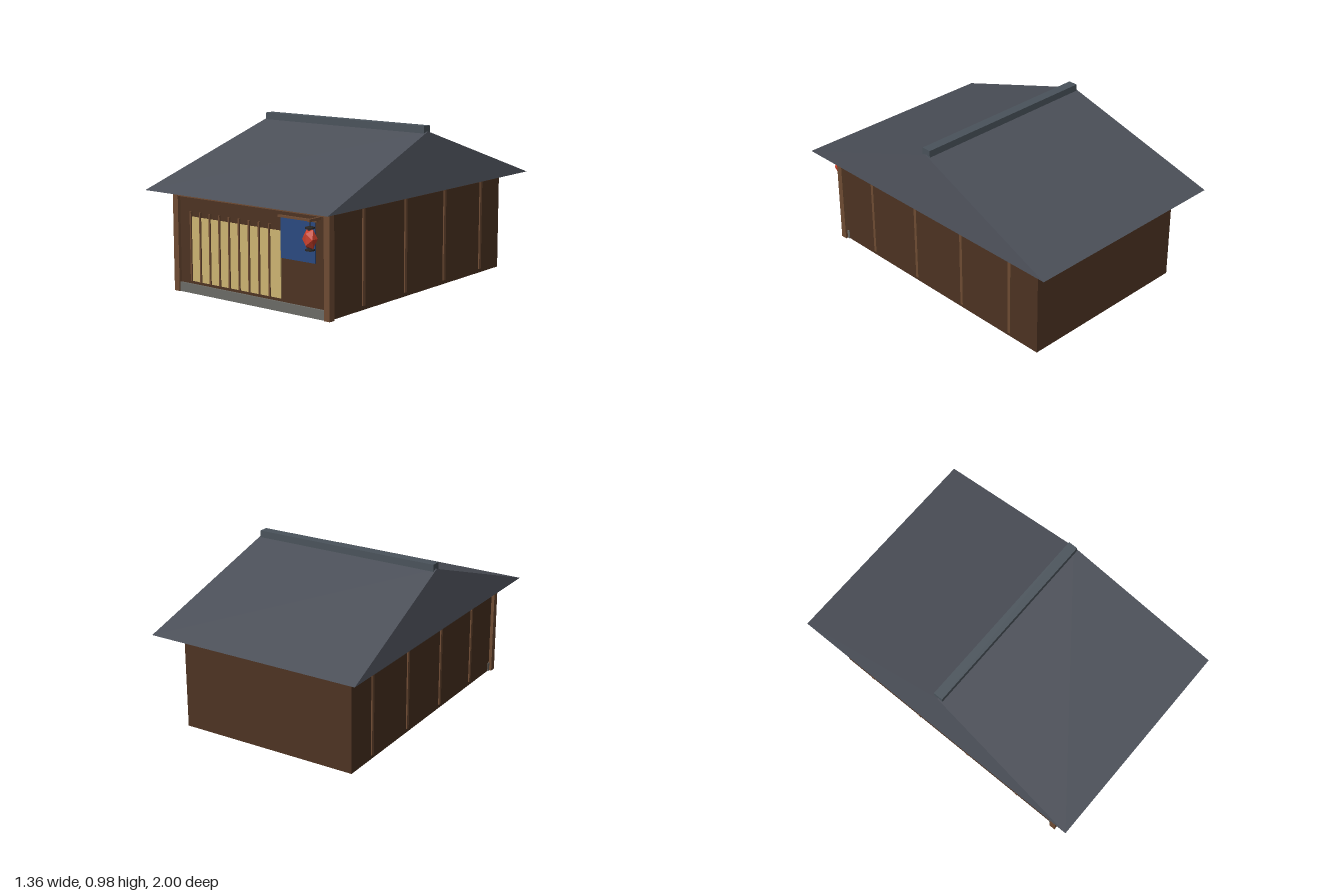
import * as THREE from 'three';

const mat = (name, color) => {
  const m = new THREE.MeshStandardMaterial({ color });
  m.name = name;
  return m;
};

export function createModel() {
  const wall = mat('dark wood', 0x4d3322);
  const trim = mat('trim wood', 0x6e4b33);
  const tile = mat('roof slate', 0x4b4f58);
  const ridgeTile = mat('ridge slate', 0x4a535b);
  const stone = mat('grey stone', 0x6b6b66);
  const paper = mat('cream paper', 0xcdb472);
  const cloth = mat('blue cloth', 0x2a4a80);
  const red = mat('lantern red', 0xcc3f2a);
  const iron = mat('dark iron', 0x2c2826);

  const model = new THREE.Group();
  model.name = 'house';
  const add = (name, geometry, material, x = 0, y = 0, z = 0, parent = model) => {
    const mesh = new THREE.Mesh(geometry, material);
    mesh.name = name;
    mesh.position.set(x, y, z);
    parent.add(mesh);
    return mesh;
  };
  // Box given by its lower and upper limits on each axis
  const box = (name, material, [x0, x1], [y0, y1], [z0, z1], parent) =>
    add(name, new THREE.BoxGeometry(x1 - x0, y1 - y0, z1 - z0), material,
      (x0 + x1) / 2, (y0 + y1) / 2, (z0 + z1) / 2, parent);

  // Walls and front frame
  box('walls', wall, [-0.568, 0.568], [0, 0.606], [-0.85, 0.85]);
  box('stoneSill', stone, [-0.573, 0.573], [0, 0.055], [0.813, 0.863]);
  box('headerBeam', trim, [-0.568, 0.568], [0.568, 0.606], [0.83, 0.868]);
  for (const s of [-1, 1]) {
    const x = s * 0.568;
    box('frontPost', trim, [x - 0.02, x + 0.02], [0, 0.606], [0.83, 0.87]);
    // Side battens and rail
    for (let i = 0; i < 4; i++) {
      const z = 0.55 - i * 0.395;
      box('sideBatten', trim, [x - 0.008, x + 0.008], [0.025, 0.58], [z - 0.01, z + 0.01]);
    }
    box('sideRail', trim, [x - 0.01, x + 0.01], [0.575, 0.591], [-0.785, 0.785]);
  }

  // Paper screen with upright slats
  box('paperScreen', paper, [-0.45, 0.23], [0.073, 0.455], [0.848, 0.856]);
  for (let i = 0; i < 9; i++) {
    const x = -0.455 + i * 0.0757;
    box('screenSlat', trim, [x - 0.005, x + 0.005], [0.073, 0.487], [0.848, 0.864]);
  }

  // Hanging door curtain
  box('curtain', cloth, [0.236, 0.48], [0.305, 0.535], [0.854, 0.861]);
  box('curtainRod', trim, [0.22, 0.497], [0.533, 0.545], [0.852, 0.866]);

  // Solid hipped roof with very steep ends, cross-sections eave and ridge
  const A = [-0.68, 0.606, 1], B = [0.68, 0.606, 1], C = [0.68, 0.606, -1], D = [-0.68, 0.606, -1];
  const L = [-0.612, 0.95, 0], R = [0.612, 0.95, 0];
  const faces = [A, B, R, A, R, L, C, D, L, C, L, R, B, C, R, D, A, L, A, D, C, A, C, B];
  const roof = new THREE.BufferGeometry();
  roof.setAttribute('position', new THREE.Float32BufferAttribute(faces.flat(), 3));
  roof.computeVertexNormals();
  add('roof', roof, tile);
  box('ridge', ridgeTile, [-0.605, 0.605], [0.938, 0.982], [-0.03, 0.03]);

  // Lantern on its bracket
  const lantern = new THREE.Group();
  lantern.name = 'lantern';
  lantern.position.set(0.507, 0.457, 0.935);
  model.add(lantern);
  box('bracket', trim, [-0.007, 0.007], [0.092, 0.107], [-0.085, 0.01], lantern);
  add('cord', new THREE.CylinderGeometry(0.003, 0.003, 0.05, 6), iron, 0, 0.08, 0, lantern);
  const shade = new THREE.IcosahedronGeometry(0.042, 0);
  shade.scale(1, 1.45, 1);
  shade.computeVertexNormals();
  add('lanternShade', shade, red, 0, 0, 0, lantern);
  for (const s of [-1, 1]) {
    add('lanternCap', new THREE.CylinderGeometry(0.026, 0.026, 0.009, 8), iron, 0, s * 0.06, 0, lantern);
    add('lanternNeck', new THREE.CylinderGeometry(0.012, 0.012, 0.016, 8), iron, 0, s * 0.051, 0, lantern);
  }
  return model;
}
